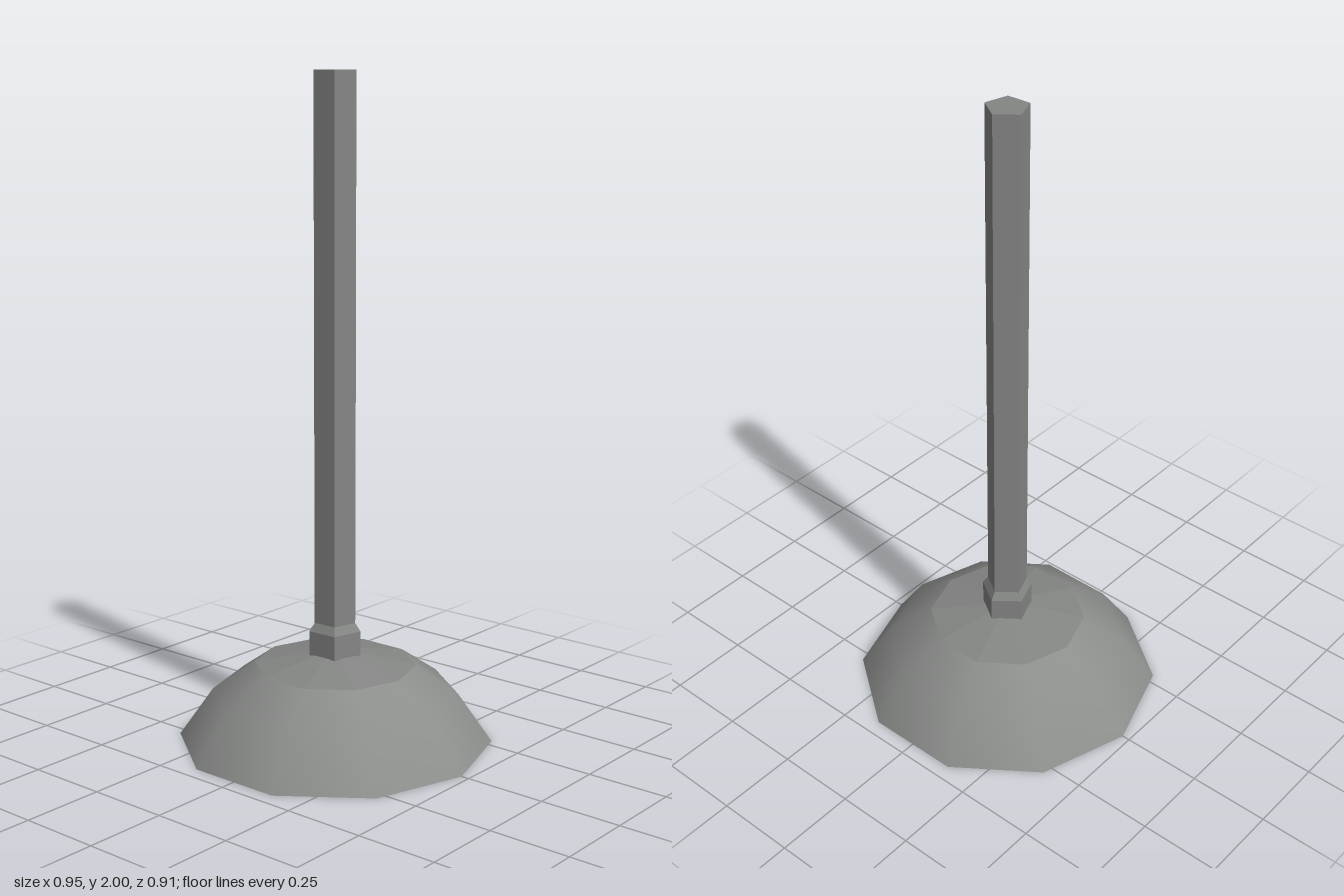
import * as THREE from 'three';

export function createModel() {
  const model = new THREE.Group();

  // Faceted lathe part from [radius, height] points; the profile runs with the outside on its right
  function turned(name, profile, sides, turn, flatShading, color = 0x848684) {
    const points = profile.map(([r, y]) => new THREE.Vector2(r, y));
    const geometry = new THREE.LatheGeometry(points, sides);
    geometry.normalizeNormals();
    const mesh = new THREE.Mesh(geometry, new THREE.MeshStandardMaterial({ color, flatShading }));
    mesh.name = name;
    mesh.rotation.y = turn;
    model.add(mesh);
  }

  // Rubber cup: smooth skirt, flat-faceted crown and a shallow hollow underneath
  const cupTurn = Math.PI / 2;
  turned('cupSkirt', [[0.476, 0], [0.373, 0.148], [0.245, 0.237]], 10, cupTurn, false, 0x8c8e8c);
  turned('cupCrown', [[0.245, 0.237], [0.07, 0.273], [0, 0.273]], 10, cupTurn, true);
  turned('cupHollow', [[0, 0.082], [0.3, 0.082], [0.476, 0]], 10, cupTurn, false, 0x6c6a6c);

  // Five-sided collar and stick, turned slightly off square
  const stickTurn = Math.PI + 0.05;
  turned('collar', [[0.081, 0.265], [0.081, 0.345], [0.064, 0.37]], 5, stickTurn, true);
  turned('stick', [[0.064, 0.36], [0.064, 2], [0, 2]], 5, stickTurn, true);

  // Paler block fixed under the hollow
  const block = new THREE.Mesh(
    new THREE.BoxGeometry(0.44, 0.082, 0.18),
    new THREE.MeshStandardMaterial({ color: 0xcccccc, flatShading: true })
  );
  block.name = 'innerBlock';
  block.position.y = 0.043;
  model.add(block);

  return model;
}
